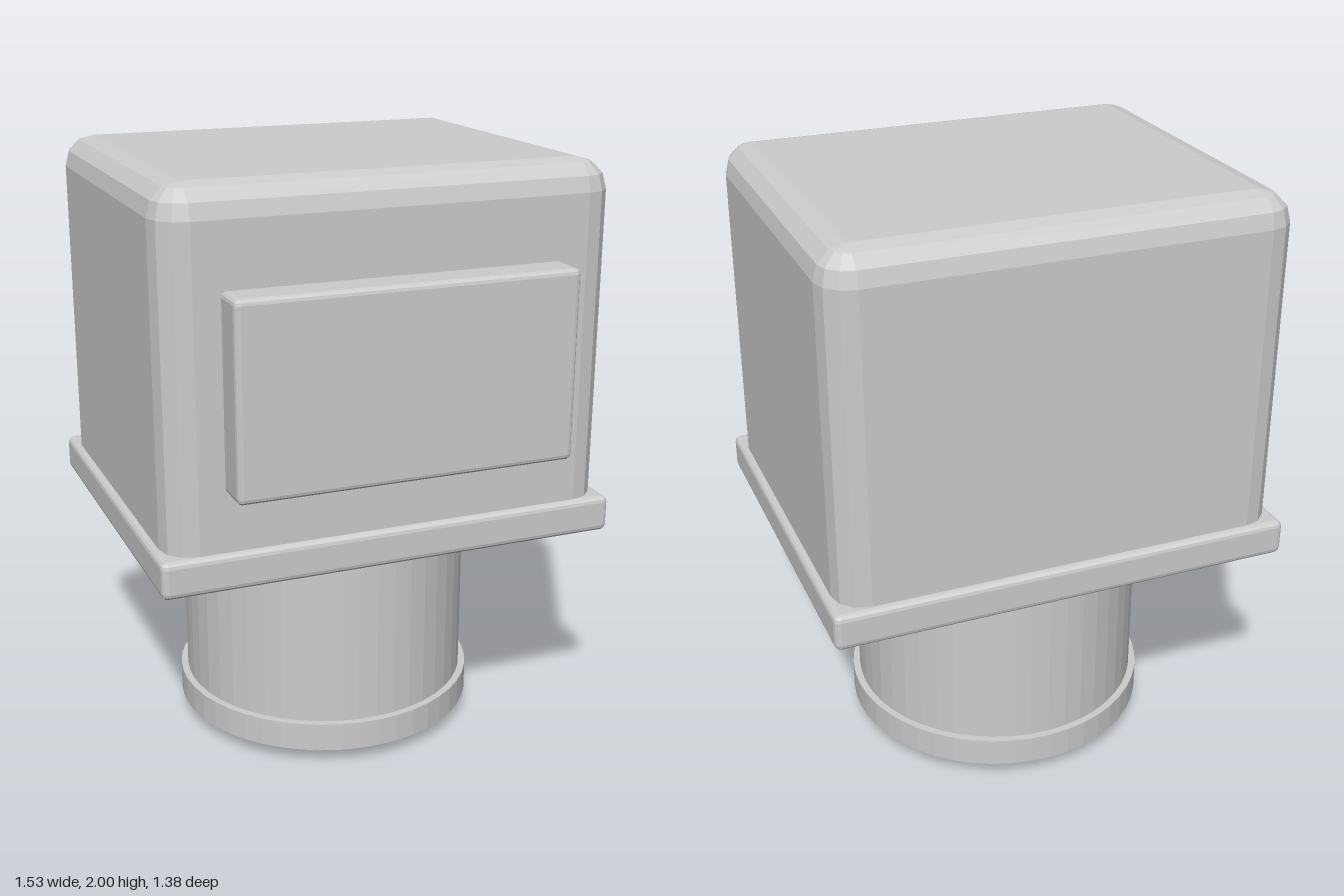
import * as THREE from 'three';
import { ConvexGeometry } from 'three/addons/geometries/ConvexGeometry.js';

const CENTRE_Z = -0.05;

// Box with every edge rounded in three flat facets, given by its extents
function bevelledBox([x0, x1], [y0, y1], [z0, z1], r, steps = 3) {
  const points = [];
  for (const sx of [-1, 1]) for (const sy of [-1, 1]) for (const sz of [-1, 1]) {
    const cx = sx > 0 ? x1 - r : x0 + r;
    const cy = sy > 0 ? y1 - r : y0 + r;
    const cz = sz > 0 ? z1 - r : z0 + r;
    for (let i = 0; i <= steps; i++) {
      const lat = (i / steps) * Math.PI / 2;
      const count = i === steps ? 0 : steps;
      for (let j = 0; j <= count; j++) {
        const lon = (j / steps) * Math.PI / 2;
        points.push(new THREE.Vector3(
          cx + sx * r * Math.cos(lat) * Math.cos(lon),
          cy + sy * r * Math.sin(lat),
          cz + sz * r * Math.cos(lat) * Math.sin(lon)));
      }
    }
  }
  return new ConvexGeometry(points);
}

// Upright cylinder between two heights
function drum(radius, y0, y1) {
  return new THREE.CylinderGeometry(radius, radius, y1 - y0, 48)
    .translate(0, (y0 + y1) / 2, CENTRE_Z);
}

export function createModel() {
  const group = new THREE.Group();
  const grey = new THREE.MeshStandardMaterial({ color: 0xcccccc, flatShading: true });
  grey.name = 'light grey';

  const add = (name, geometry) => {
    const mesh = new THREE.Mesh(geometry, grey);
    mesh.name = name;
    group.add(mesh);
  };

  // Square housing on its flange, with a raised front panel
  add('housing', bevelledBox([-0.74, 0.74], [0.785, 2], [-0.665, 0.57], 0.1));
  add('flange', bevelledBox([-0.765, 0.765], [0.77, 0.89], [-0.69, 0.592], 0.02));
  add('frontPanel', bevelledBox([-0.555, 0.555], [1.08, 1.695], [0.5, 0.69], 0.018));

  // Round neck, collar and foot
  add('neck', drum(0.493, 0.1, 0.8));
  add('collar', drum(0.517, 0.053, 0.15));
  add('foot', drum(0.394, 0, 0.08));

  return group;
}
